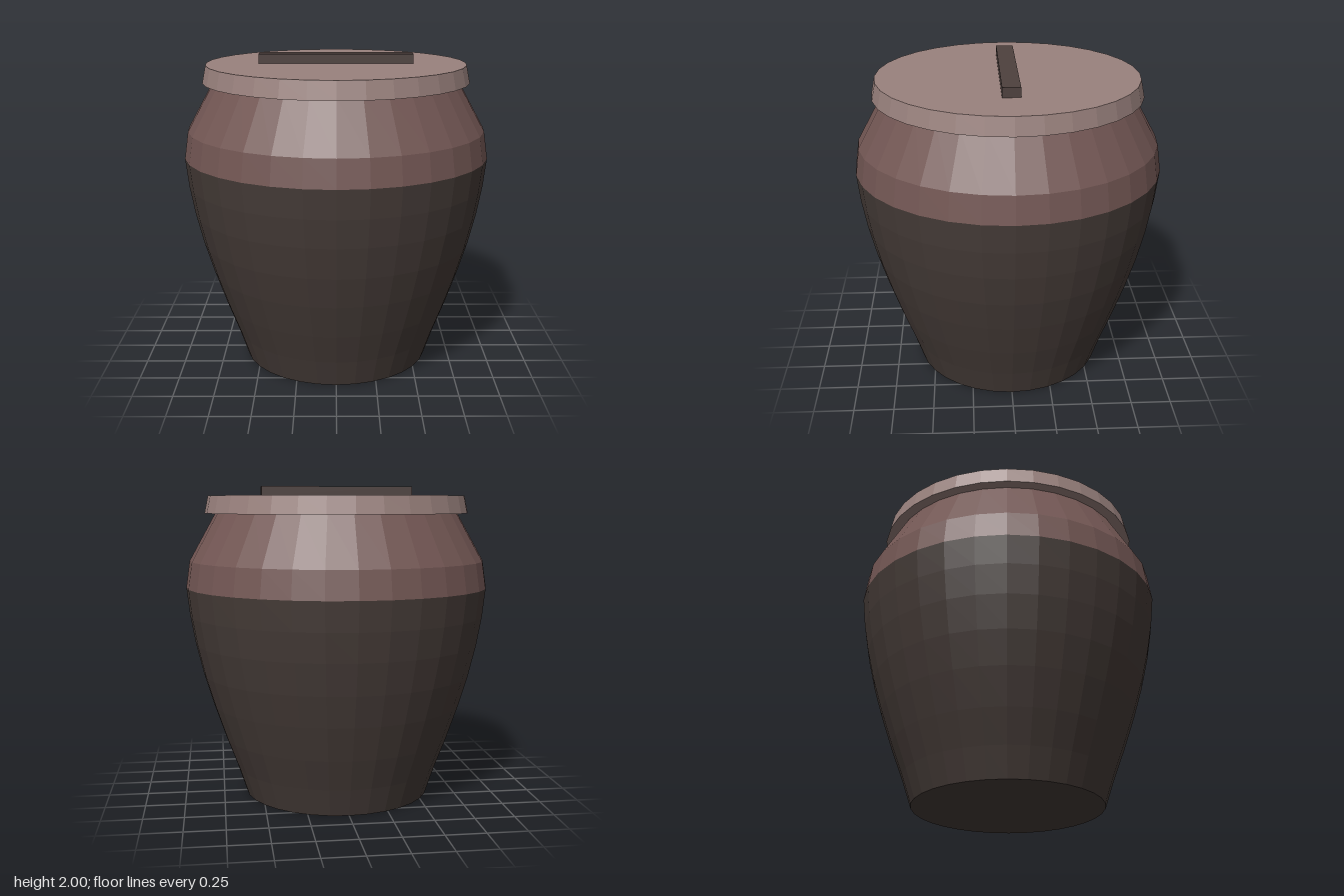
import * as THREE from 'three';

const SIDES = 32;

function material(color) {
  return new THREE.MeshStandardMaterial({ color, flatShading: true });
}

// Revolve a bottom-to-top [radius, height] profile, with a vertex on each axis
function revolve(name, profile, color) {
  const points = profile.map(([r, y]) => new THREE.Vector2(r, y));
  const mesh = new THREE.Mesh(new THREE.LatheGeometry(points, SIDES), material(color));
  mesh.name = name;
  return mesh;
}

export function createModel() {
  const jar = new THREE.Group();
  jar.name = 'lidded jar';

  // Dark lower body with a closed base
  jar.add(revolve('lowerBody', [
    [0, 0], [0.6, 0], [0.66, 0.18], [0.735, 0.38], [0.81, 0.6],
    [0.87, 0.8], [0.918, 1.0], [0.95, 1.18], [0.97, 1.36],
  ], 0x463c38));

  // Reddish shoulder narrowing to the mouth under the lid
  jar.add(revolve('shoulder', [
    [0.97, 1.36], [0.945, 1.53], [0.775, 1.835],
  ], 0x735754));

  // Slightly tapered lid
  jar.add(revolve('lid', [
    [0, 1.83], [0.845, 1.83], [0.822, 1.94], [0, 1.94],
  ], 0x9a827e));

  // Flat bar handle across the lid
  const handle = new THREE.Mesh(new THREE.BoxGeometry(0.97, 0.06, 0.11), material(0x4e413e));
  handle.name = 'handle';
  handle.position.y = 1.97;
  jar.add(handle);

  return jar;
}
